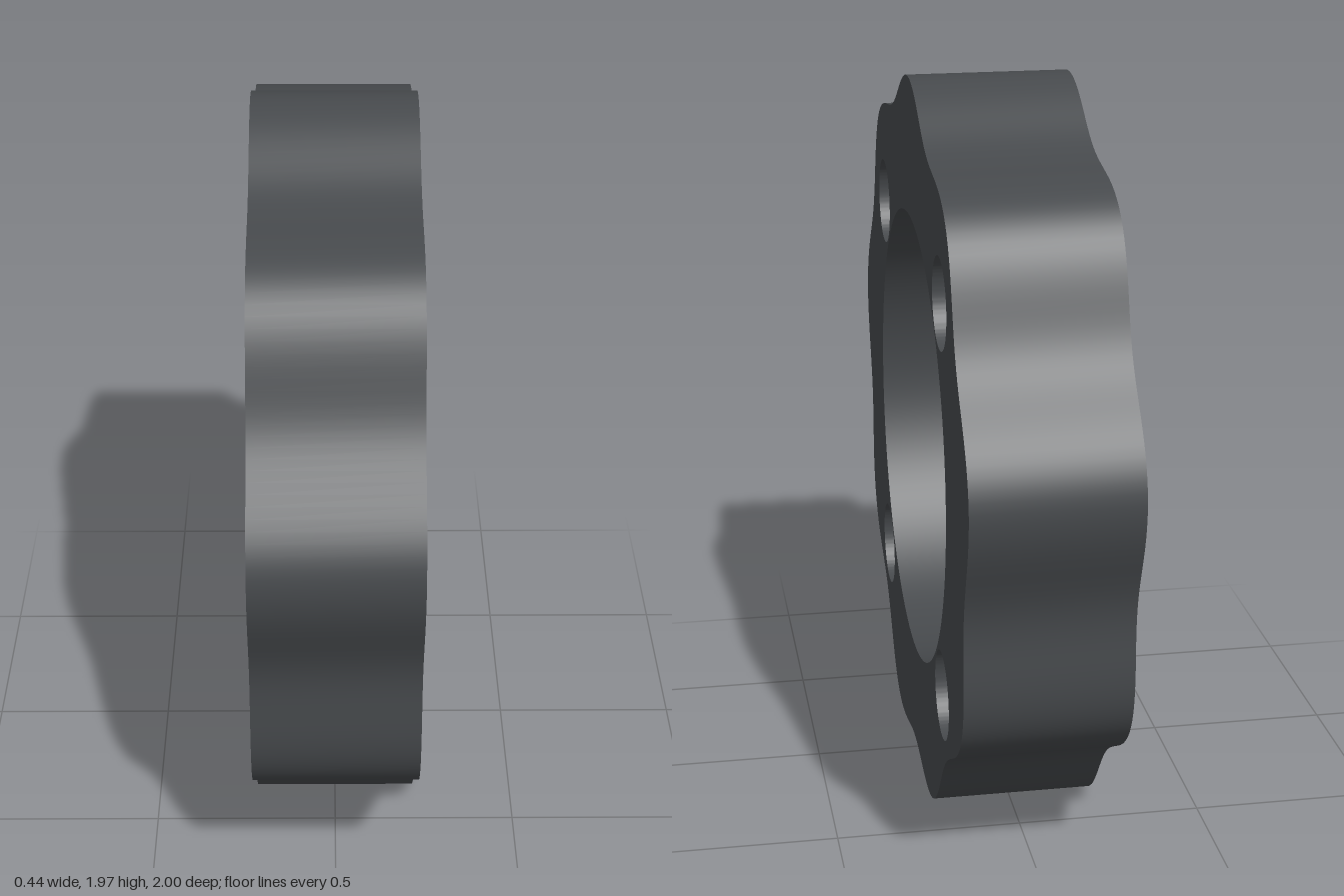
import * as THREE from 'three';
import { toCreasedNormals } from 'three/addons/utils/BufferGeometryUtils.js';

const WIDTH = 0.436, CENTRE_Y = 0.972;
const LOBES = 9, MEAN_RADIUS = 0.97, WAVE = 0.04;
const BORE_RADIUS = 0.632, BOLT_RADIUS = 0.121, BOLT_OFFSET = 0.54;

// Circular cut-out in the ring profile
function circle(x, y, r) {
  return new THREE.Path().absarc(x, y, r, 0, Math.PI * 2, true);
}

export function createModel() {
  const group = new THREE.Group();
  group.name = 'lobedSpacer';

  // Scalloped outline with one lobe pointing straight up
  const outline = [];
  const steps = LOBES * 24;
  for (let i = 0; i < steps; i++) {
    const a = (i / steps) * Math.PI * 2;
    const r = MEAN_RADIUS + WAVE * Math.cos(LOBES * (a - Math.PI / 2));
    outline.push(new THREE.Vector2(r * Math.cos(a), r * Math.sin(a)));
  }
  const profile = new THREE.Shape(outline);

  // Central bore and four bolt holes
  profile.holes.push(circle(0, 0, BORE_RADIUS));
  for (const sx of [-1, 1])
    for (const sy of [-1, 1])
      profile.holes.push(circle(sx * BOLT_OFFSET, sy * BOLT_OFFSET, BOLT_RADIUS));

  // Extrude and turn so that the axis lies along x
  const extruded = new THREE.ExtrudeGeometry(profile, {
    depth: WIDTH, bevelEnabled: false, curveSegments: 64,
  });
  extruded.translate(0, 0, -WIDTH / 2);
  extruded.rotateY(Math.PI / 2);

  const ring = new THREE.Mesh(
    toCreasedNormals(extruded, 0.6),
    new THREE.MeshStandardMaterial({ color: 0x46494c })
  );
  ring.name = 'scallopedRing';
  ring.position.y = CENTRE_Y;
  group.add(ring);

  // Rest the lowest lobes on the ground
  const box = new THREE.Box3().setFromObject(group);
  ring.position.y -= box.min.y;
  return group;
}
